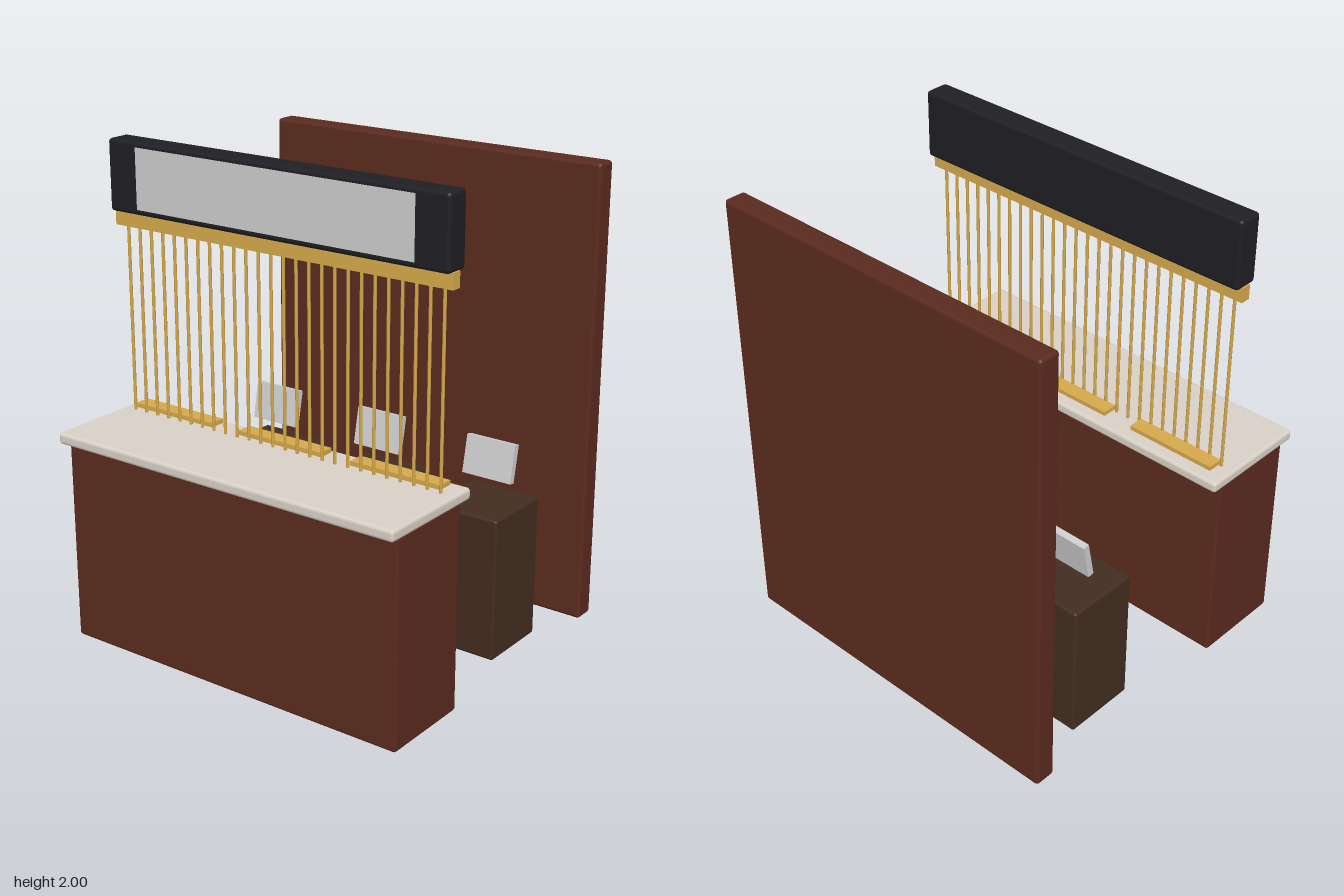
import * as THREE from 'three';
import { RoundedBoxGeometry } from 'three/addons/geometries/RoundedBoxGeometry.js';

const mat = (color) => new THREE.MeshStandardMaterial({ color });

export function createModel() {
  const model = new THREE.Group();
  model.name = 'tellerCounter';

  const wood = mat(0x5a2a1e);
  const darkWood = mat(0x422c20);
  const stone = mat(0xd8d0c6);
  const black = mat(0x1e1e24);
  const gold = mat(0xd4a84a);
  const grey = mat(0xcccccc);

  // Box given by its extents on each axis; radius > 0 rounds the edges
  function box(name, material, [x0, x1], [y0, y1], [z0, z1], radius = 0) {
    const size = [x1 - x0, y1 - y0, z1 - z0];
    const geometry = radius
      ? new RoundedBoxGeometry(...size, 3, radius)
      : new THREE.BoxGeometry(...size);
    const mesh = new THREE.Mesh(geometry, material);
    mesh.name = name;
    mesh.position.set((x0 + x1) / 2, (y0 + y1) / 2, (z0 + z1) / 2);
    model.add(mesh);
    return mesh;
  }

  // Counter and back wall
  box('counterBody', wood, [-0.785, 0.785], [0, 0.845], [0.293, 0.69], 0.012);
  box('counterTop', stone, [-0.797, 0.797], [0.843, 0.89], [0.243, 0.737], 0.014);
  box('backWall', wood, [-0.785, 0.785], [0, 1.92], [-0.737, -0.643], 0.015);

  // Overhead sign on its brass beam
  box('signHousing', black, [-0.785, 0.785], [1.715, 2], [0.299, 0.405], 0.015);
  box('signPanel', grey, [-0.643, 0.643], [1.738, 1.98], [0.39, 0.407]);
  box('grilleBeam', gold, [-0.785, 0.785], [1.655, 1.717], [0.334, 0.376]);

  // Grille of thin vertical bars
  const barGeometry = new THREE.CylinderGeometry(0.0065, 0.0065, 0.785, 8);
  const barCount = 26;
  for (let i = 0; i < barCount; i++) {
    const bar = new THREE.Mesh(barGeometry, gold);
    bar.name = 'grilleBar';
    bar.position.set(-0.739 + (1.478 * i) / (barCount - 1), 1.2725, 0.355);
    model.add(bar);
  }

  // Three teller stations: tray, desk and tilted screen
  for (const side of [-1, 0, 1]) {
    const tx = side * 0.535;
    box('tray', gold, [tx - 0.2, tx + 0.2], [0.9, 0.918], [0.288, 0.354]);
    box('desk', darkWood, [tx - 0.158, tx + 0.158], [0, 0.602], [-0.431, -0.114], 0.012);
    const screen = box('screen', grey, [tx - 0.111, tx + 0.111], [0.686, 0.844], [-0.325, -0.297]);
    screen.rotation.x = -0.2;
  }

  return model;
}
